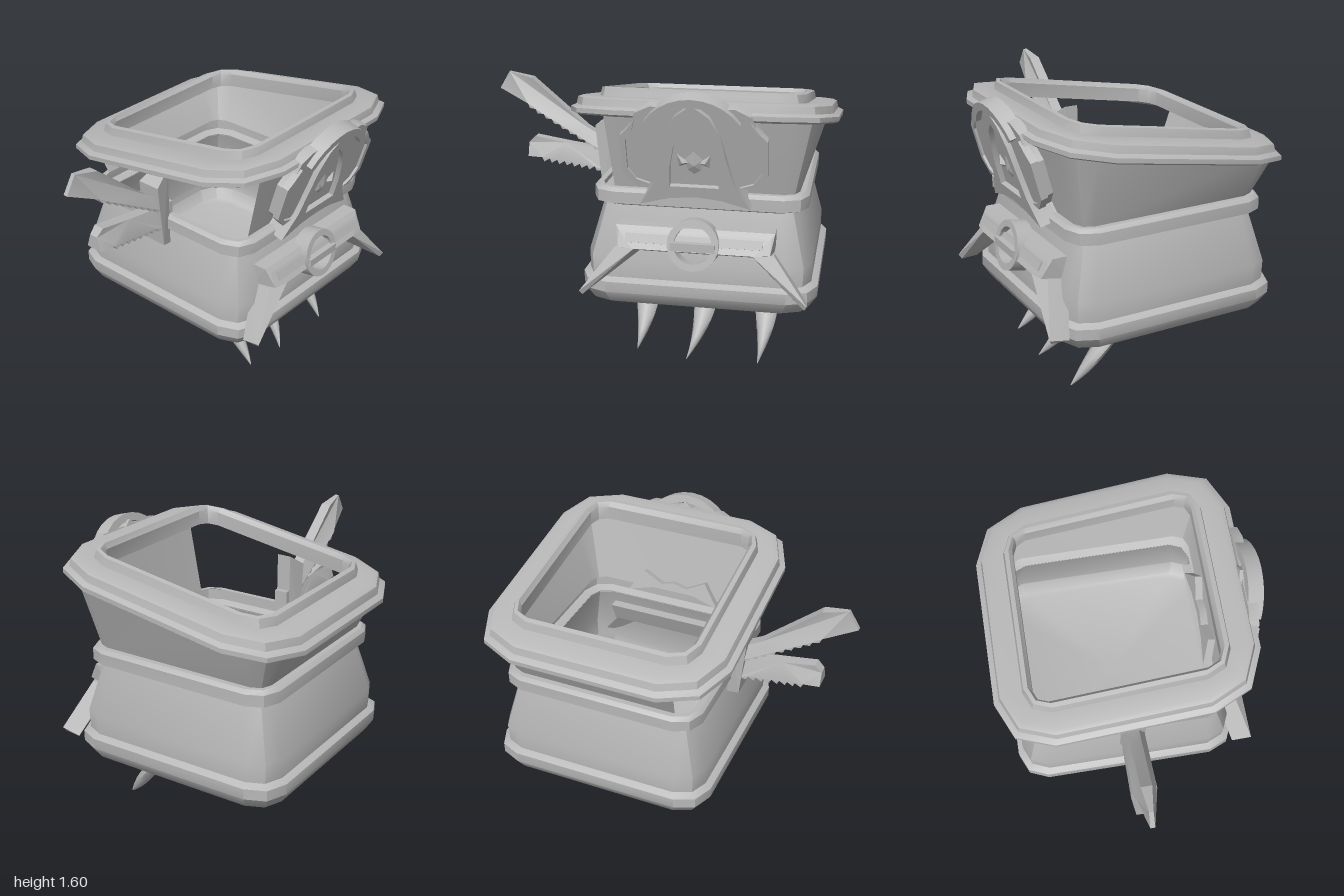
import * as THREE from 'three';
import { toCreasedNormals } from 'three/addons/utils/BufferGeometryUtils.js';
import { ConvexGeometry } from 'three/addons/geometries/ConvexGeometry.js';

const CX = 0.275, CZ = -0.055; // centre of the tub
const V = (x, y, z) => new THREE.Vector3(x, y, z);

export function createModel() {
  const grey = new THREE.MeshStandardMaterial({ color: 0xb8b8b8, side: THREE.DoubleSide });
  grey.name = 'stone grey';
  const model = new THREE.Group();
  model.name = 'tub';

  const add = (name, geometry, parent = model, crease = 0.6) => {
    const mesh = new THREE.Mesh(toCreasedNormals(geometry, crease), grey);
    mesh.name = name;
    parent.add(mesh);
    return mesh;
  };

  // Joins equal loops of points; skip(i) leaves out the quads of one column
  const joinLoops = (loops, skip = () => false) => {
    const n = loops[0].length, index = [];
    for (let k = 0; k < loops.length - 1; k++) {
      for (let i = 0; i < n; i++) {
        if (skip(i)) continue;
        const a = k * n + i, b = k * n + (i + 1) % n;
        index.push(a, b, b + n, a, b + n, a + n);
      }
    }
    const g = new THREE.BufferGeometry().setFromPoints(loops.flat());
    g.setIndex(index);
    return g;
  };

  // Square outline with two-step corners; tilt raises the front
  const outline = ([y, h, r, tilt = 0]) => {
    const pts = [];
    for (const [sx, sz] of [[1, 1], [1, -1], [-1, -1], [-1, 1]]) {
      const corner = [[h - r, h], [h - 0.3 * r, h - 0.3 * r], [h, h - r]];
      if (sx * sz < 0) corner.reverse();
      for (const [x, z] of corner) pts.push(V(CX + sx * x, y + tilt * sz * z, CZ + sz * z));
    }
    return pts;
  };
  const shell = (sections, skip) => joinLoops(sections.map(outline), skip);

  // Flat outline pushed out along z
  const plate = (pts, z0, depth, hole) => {
    const shape = new THREE.Shape(pts.map(([x, y]) => new THREE.Vector2(x, y)));
    if (hole) shape.holes.push(new THREE.Path(hole.map(([x, y]) => new THREE.Vector2(x, y))));
    return new THREE.ExtrudeGeometry(shape, { depth, bevelEnabled: false }).translate(0, 0, z0);
  };
  const mirrored = half => [...half, ...half.filter(p => p[0] > 0).reverse().map(([x, y]) => [-x, y])];

  // Floor, base moulding and lower wall
  add('lowerBody', shell([
    [0.37, 0.001, 0], [0.37, 0.585, 0.13], [0.385, 0.615, 0.14], [0.45, 0.655, 0.16],
    [0.51, 0.655, 0.16], [0.53, 0.62, 0.14], [0.64, 0.62, 0.13], [0.93, 0.54, 0.1],
  ]));
  add('waistBand', shell([
    [0.925, 0.54, 0.1], [0.945, 0.59, 0.13], [1.01, 0.59, 0.13], [1.03, 0.57, 0.12], [1.03, 0.54, 0.08],
  ]));

  // Upper wall, open on the side with the arm
  add('upperWall', shell([
    [1.03, 0.54, 0.08], [1.36, 0.645, 0.15, 0.16],
  ], i => i >= 6 && i <= 10));

  // Sloping rim with raised collar
  const T = 0.17;
  add('rim', shell([
    [1.36, 0.63, 0.2, T], [1.335, 0.71, 0.3, T], [1.345, 0.725, 0.3, T], [1.37, 0.725, 0.3, T],
    [1.385, 0.695, 0.28, T], [1.425, 0.685, 0.27, T], [1.435, 0.66, 0.26, T], [1.435, 0.56, 0.14, T],
    [1.48, 0.55, 0.14, T], [1.485, 0.525, 0.11, T], [1.46, 0.505, 0.08, T], [1.38, 0.505, 0.08, T],
    [1.36, 0.63, 0.2, T],
  ])).position.z = 0.015;

  // Leaning emblem on the front
  const emblem = new THREE.Group();
  emblem.name = 'frontEmblem';
  emblem.position.set(CX, 1.0, 0.48);
  emblem.rotation.x = 0.27;
  model.add(emblem);
  add('emblemPlate', plate(mirrored([
    [0, 0.57], [0.22, 0.57], [0.3, 0.53], [0.33, 0.45], [0.38, 0.39], [0.38, 0.2], [0.31, 0.12], [0.16, 0.12],
  ]), 0.025, 0.06), emblem);
  for (const s of [1, -1]) {
    add('plateEdge', plate([
      [s * 0.3, 0.5], [s * 0.345, 0.44], [s * 0.385, 0.4], [s * 0.385, 0.19], [s * 0.31, 0.11], [s * 0.24, 0.12],
      [s * 0.31, 0.145], [s * 0.355, 0.21], [s * 0.355, 0.38], [s * 0.32, 0.43],
    ], 0.06, 0.04), emblem);
  }
  add('pointedFrame', plate(mirrored([
    [0, 0.6], [0.09, 0.53], [0.145, 0.42], [0.17, 0.3], [0.21, 0.14], [0.295, 0], [0.14, 0.045], [0, 0.06],
  ]), 0.01, 0.105, mirrored([
    [0, 0.52], [0.06, 0.46], [0.1, 0.36], [0.125, 0.24], [0.13, 0.12],
  ])), emblem);
  // Feet of the frame, showing inside the tub
  add('frameFeet', plate(mirrored([
    [0, 0.1], [0.08, 0.08], [0.2, 0.14], [0.295, 0], [0.14, 0.045], [0, 0.06],
  ]), -0.05, 0.06), emblem);
  const arc = r => Array.from({ length: 11 }, (_, i) => {
    const a = Math.PI * (0.18 + 0.064 * i);
    return [r * Math.cos(a), 0.34 + r * Math.sin(a)];
  });
  add('archCap', plate([...arc(0.295), ...arc(0.25).reverse()], 0.03, 0.09), emblem);
  add('facePanel', plate(mirrored([[0, 0.5], [0.1, 0.36], [0.13, 0.12]]), 0.05, 0.025), emblem);
  add('faceRidge', new ConvexGeometry([
    V(0, 0.4, 0.07), V(0, 0.13, 0.07), V(0.1, 0.3, 0.07), V(-0.1, 0.3, 0.07),
    V(0.07, 0.18, 0.07), V(-0.07, 0.18, 0.07), V(0, 0.24, 0.1),
  ]), emblem, 0.1);
  for (const s of [1, -1]) {
    add('eye', new ConvexGeometry([
      V(s * 0.015, 0.25, 0.08), V(s * 0.095, 0.31, 0.08), V(s * 0.085, 0.22, 0.08), V(s * 0.06, 0.26, 0.11),
    ]), emblem, 0.1);
  }

  // Buckle on the lower front: framed bar, ring and drooping tusks
  const buckle = new THREE.Group();
  buckle.name = 'buckle';
  buckle.position.x = CX;
  model.add(buckle);
  add('bar', new ConvexGeometry([-1, 1].flatMap(s => [
    V(s * 0.43, 0.845, 0.45), V(s * 0.43, 0.845, 0.59), V(s * 0.41, 0.82, 0.61), V(s * 0.41, 0.74, 0.65),
    V(s * 0.33, 0.735, 0.66), V(s * 0.33, 0.69, 0.55), V(s * 0.43, 0.72, 0.5),
  ])), buckle, 0.1);
  add('barInset', new THREE.BoxGeometry(0.74, 0.05, 0.03).rotateX(-0.4).translate(0, 0.785, 0.625), buckle);
  const circle = r => Array.from({ length: 24 }, (_, i) =>
    [r * Math.cos(i * Math.PI / 12), r * Math.sin(i * Math.PI / 12)]);
  const ring = add('ring', plate(circle(0.14), -0.05, 0.1, circle(0.102)), buckle);
  ring.position.set(0, 0.765, 0.61);
  ring.rotation.x = -0.2;
  add('ringCrossbar', new THREE.BoxGeometry(0.24, 0.045, 0.06).translate(0, 0.765, 0.645), buckle);
  for (const s of [1, -1]) {
    add('tusk', new ConvexGeometry([
      V(s * 0.42, 0.72, 0.5), V(s * 0.43, 0.73, 0.62), V(s * 0.32, 0.735, 0.66), V(s * 0.31, 0.69, 0.55),
      V(s * 0.615, 0.49, 0.705), V(s * 0.6, 0.465, 0.69), V(s * 0.61, 0.465, 0.59),
    ]), buckle, 0.1);
  }

  // Three curved claws under the floor
  const claws = [[-0.07, -0.075, 0.05], [0.275, 0.21, 0.01], [0.625, 0.615, 0.02]];
  for (const [x, tipX, tipY] of claws) {
    const path = new THREE.QuadraticBezierCurve3(V(x, 0.37, 0.155), V(x + 0.035, 0.2, 0.3), V(tipX, tipY, 0.445));
    const loops = [];
    for (let k = 0; k <= 8; k++) {
      const t = k / 8, c = path.getPoint(t);
      const w = Math.max(0.002, 0.075 * (1 - t ** 1.6)), d = Math.max(0.004, 0.04 * (1 - t ** 5));
      loops.push(Array.from({ length: 8 }, (_, i) => {
        const a = i * Math.PI / 4, e = d * Math.sin(a);
        return V(c.x + w * Math.cos(a), k ? c.y + e * 0.7 : 0.369, c.z + e * (k ? 0.7 : 1.2));
      }));
    }
    add('claw', joinLoops(loops), model, 0.9);
  }

  // Side arm: mounting plate and two serrated blades
  add('armMount', new ConvexGeometry([-0.11, 0.03].flatMap(z => [
    V(-0.41, 1.25, z), V(-0.3, 1.32, z * 0.6 - 0.015), V(-0.29, 0.84, z * 0.6 - 0.015), V(-0.37, 0.87, z),
  ])), model, 0.1);
  add('mountPeg', new THREE.BoxGeometry(0.06, 0.09, 0.08).translate(-0.295, 1.06, -0.04));
  const blade = (name, top, from, to, teeth) => {
    const pts = [...top], slope = (to[1] - from[1]) / (to[0] - from[0]);
    for (let i = 0; i <= teeth; i++) {
      const t = i / teeth, x = from[0] + (to[0] - from[0]) * t, y = from[1] + (to[1] - from[1]) * t;
      pts.push([x, y + 0.02], [x + 0.012, y - 0.005]);
    }
    const g = plate(pts, -0.105, 0.13);
    const p = g.attributes.position;
    // Thin the blade towards its tip and its back
    for (let i = 0; i < p.count; i++) {
      const x = p.getX(i), isBack = p.getY(i) > from[1] + slope * (x - from[0]) + 0.06;
      const f = Math.min(1, Math.max(0.2, (x + 1.03) * 4)) * (isBack ? 0.5 : 1);
      p.setZ(i, -0.04 + (p.getZ(i) + 0.04) * f);
    }
    add(name, g, model, 0.4);
  };
  blade('upperBlade', [[-0.37, 1.1], [-0.38, 1.18], [-0.47, 1.23], [-0.8, 1.51], [-0.94, 1.54], [-1, 1.44]],
    [-0.82, 1.34], [-0.43, 1.11], 8);
  blade('lowerBlade', [[-0.36, 0.98], [-0.38, 1.1], [-0.6, 1.13], [-0.79, 1.16], [-0.83, 1.12], [-0.83, 1.04]],
    [-0.74, 1.02], [-0.42, 0.98], 7);

  return model;
}
